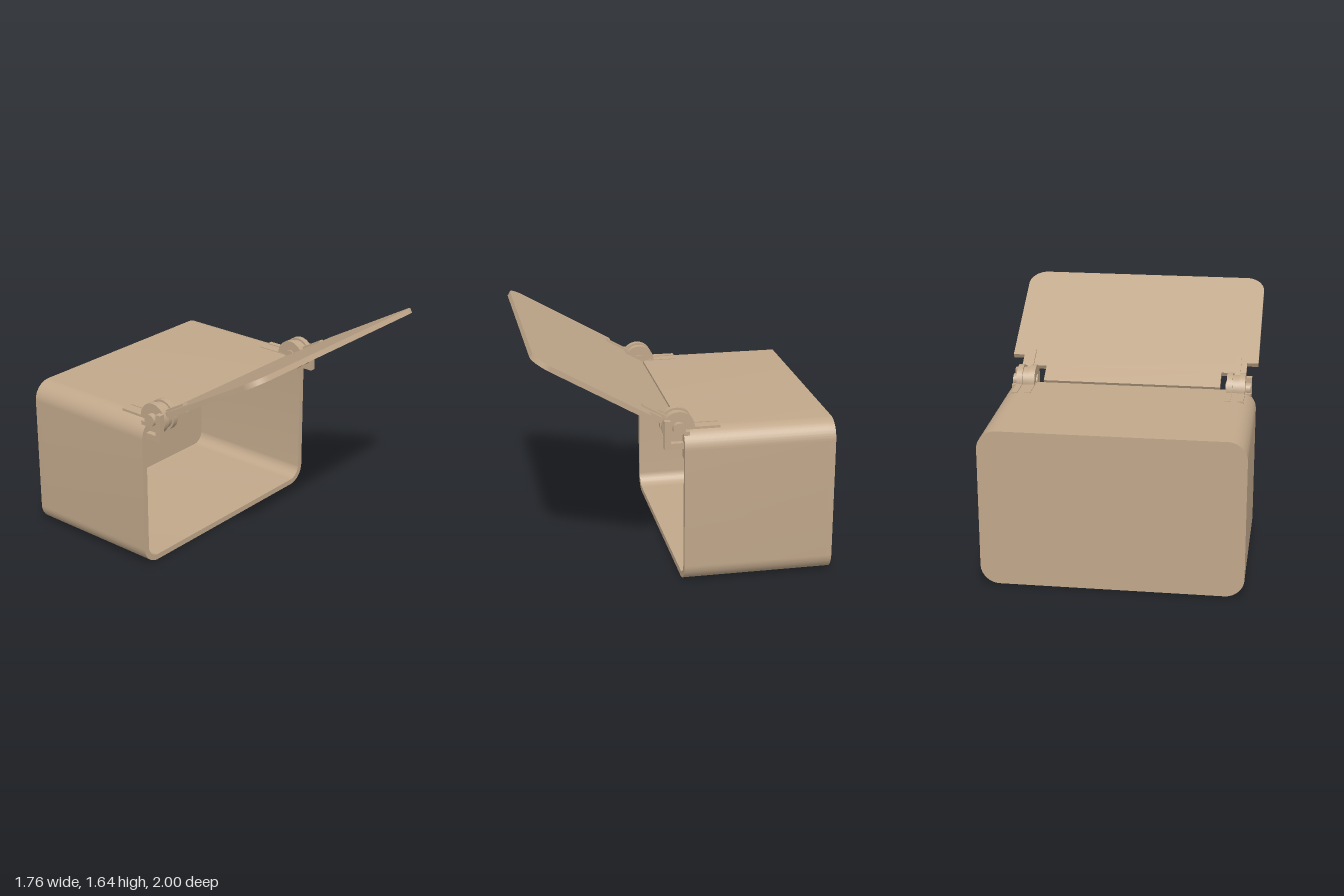
import * as THREE from 'three';
import { toCreasedNormals } from 'three/addons/utils/BufferGeometryUtils.js';

const tan = new THREE.MeshStandardMaterial({ color: 0xc0a78a });
tan.name = 'tan';

function add(parent, name, geometry, x = 0, y = 0, z = 0) {
  const mesh = new THREE.Mesh(geometry, tan);
  mesh.name = name;
  mesh.position.set(x, y, z);
  parent.add(mesh);
  return mesh;
}

// Box given by its limits on each axis
function block(parent, name, [x0, x1], [y0, y1], [z0, z1]) {
  return add(parent, name, new THREE.BoxGeometry(x1 - x0, y1 - y0, z1 - z0),
    (x0 + x1) / 2, (y0 + y1) / 2, (z0 + z1) / 2);
}

// Disc or pin lying along x
function disc(parent, name, [x0, x1], radius, y, z) {
  const g = new THREE.CylinderGeometry(radius, radius, x1 - x0, 40).rotateZ(Math.PI / 2);
  return add(parent, name, g, (x0 + x1) / 2, y, z);
}

function roundedRect(target, x0, y0, x1, y1, r) {
  target.moveTo(x0 + r, y0);
  target.lineTo(x1 - r, y0);
  target.absarc(x1 - r, y0 + r, r, -Math.PI / 2, 0, false);
  target.lineTo(x1, y1 - r);
  target.absarc(x1 - r, y1 - r, r, 0, Math.PI / 2, false);
  target.lineTo(x0 + r, y1);
  target.absarc(x0 + r, y1 - r, r, Math.PI / 2, Math.PI, false);
  target.lineTo(x0, y0 + r);
  target.absarc(x0 + r, y0 + r, r, Math.PI, Math.PI * 1.5, false);
  return target;
}

function extrude(shape, depth) {
  const g = new THREE.ExtrudeGeometry(shape, { depth, bevelEnabled: false, curveSegments: 16 });
  return toCreasedNormals(g, 0.5);
}

export function createModel() {
  const model = new THREE.Group();
  model.name = 'hingedBox';
  const W = 0.88, H = 1.085, R = 0.13, T = 0.04;

  // Hollow body, open at the front
  const wall = roundedRect(new THREE.Shape(), -W, 0, W, H, R);
  wall.holes.push(roundedRect(new THREE.Path(), -W + T, T, W - T, H - T, R - T));
  add(model, 'bodyWalls', extrude(wall, 0.98), 0, 0, -0.96);
  add(model, 'bodyBack', extrude(roundedRect(new THREE.Shape(), -W, 0, W, H, R), T), 0, 0, -1);

  // Open lid: local y runs out along the lid, local z points below it
  const lid = new THREE.Group();
  lid.name = 'lid';
  lid.position.set(0, 1.095, 0.035);
  lid.rotation.x = Math.PI / 3;
  model.add(lid);
  const L = 1.093;
  const plate = new THREE.Shape();
  plate.moveTo(-0.625, 0);
  plate.lineTo(0.625, 0);
  plate.lineTo(0.625, 0.139);
  plate.lineTo(0.8, 0.139);
  plate.lineTo(0.8, 0.238);
  plate.lineTo(W, 0.238);
  plate.lineTo(W, L - R);
  plate.absarc(W - R, L - R, R, 0, Math.PI / 2, false);
  plate.lineTo(-W + R, L);
  plate.absarc(-W + R, L - R, R, Math.PI / 2, Math.PI, false);
  plate.lineTo(-W, 0.238);
  plate.lineTo(-0.8, 0.238);
  plate.lineTo(-0.8, 0.139);
  plate.lineTo(-0.625, 0.139);
  plate.closePath();
  add(lid, 'lidPlate', extrude(plate, 0.035));

  // Hinges and their brackets, mirrored left and right
  const span = (s, a, b) => (s > 0 ? [a, b] : [-b, -a]);
  for (const s of [1, -1]) {
    const hinge = new THREE.Group();
    hinge.name = s > 0 ? 'leftHinge' : 'rightHinge';
    model.add(hinge);
    const y = 1.09, z = 0.048;
    disc(hinge, 'innerKnuckle', span(s, 0.675, 0.715), 0.108, y, z);
    disc(hinge, 'middleKnuckle', span(s, 0.715, 0.763), 0.093, y, z);
    disc(hinge, 'outerKnuckle', span(s, 0.763, 0.803), 0.108, y, z);
    disc(hinge, 'pin', span(s, 0.665, 0.84), 0.042, y, z);

    // Leaves set into the top of the body
    block(hinge, 'innerLeaf', span(s, 0.672, 0.715), [1.05, 1.09], [-0.23, 0.02]);
    block(hinge, 'outerLeaf', span(s, 0.763, 0.803), [1.05, 1.09], [-0.23, 0.02]);

    // Arm joining the middle knuckle to the lid
    block(lid, 'lidArm', span(s, 0.718, 0.76), [0, 0.283], [-0.012, 0.047]);

    // Stop bracket beside the hinge
    block(hinge, 'bracketPost', span(s, 0.803, 0.843), [0.955, 1.15], [0.108, 0.148]);
    block(hinge, 'bracketFoot', span(s, 0.803, 0.843), [0.955, 0.997], [0.02, 0.108]);
    block(hinge, 'bracketRib', span(s, 0.803, 0.843), [0.89, 1.073], [-0.02, 0.021]);
  }
  return model;
}
